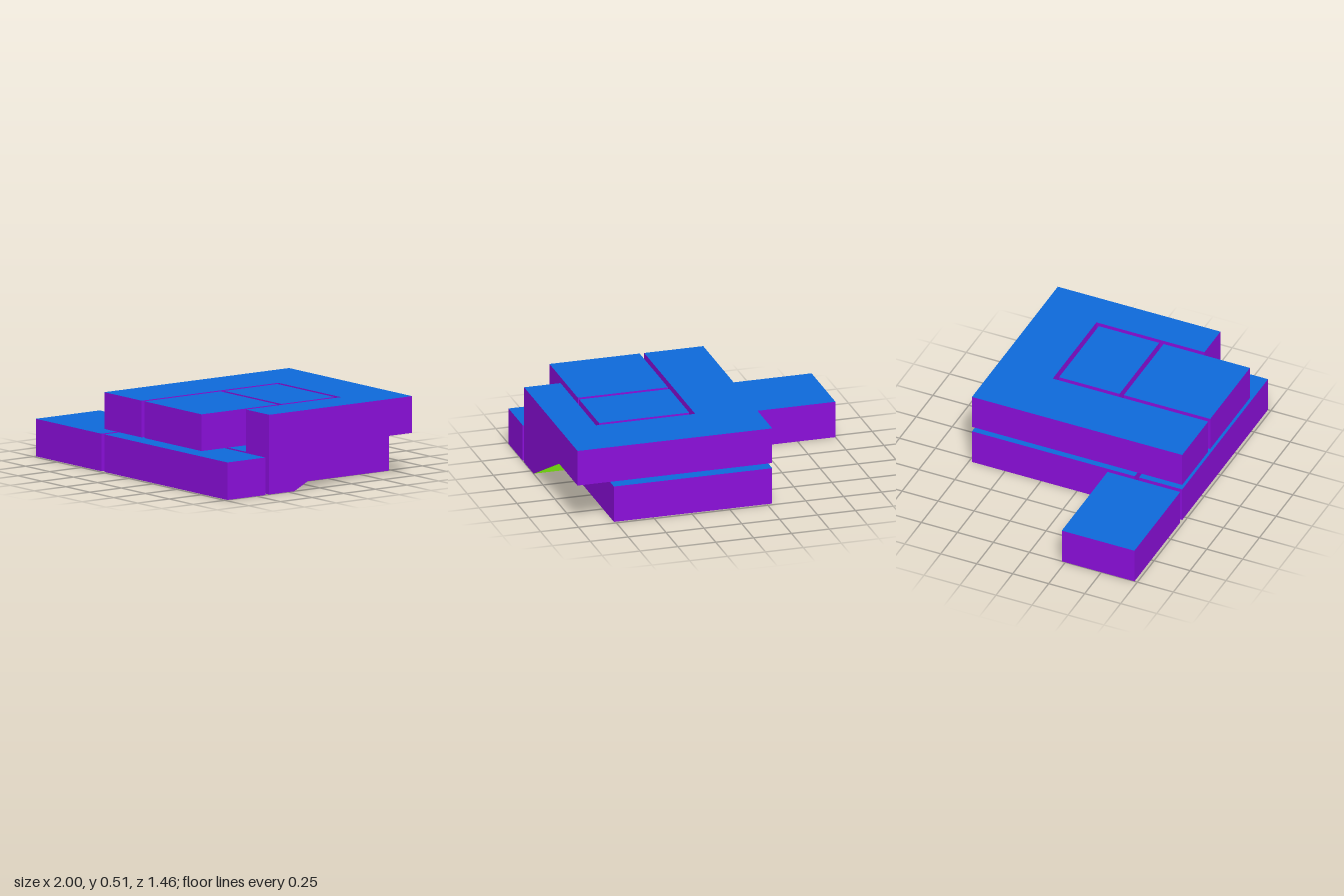
import * as THREE from 'three';

const material = (name, color) => Object.assign(new THREE.MeshStandardMaterial({ color }), { name });

export function createModel() {
  const group = new THREE.Group();
  const blue = material('roof blue', 0x0d69d9);
  const purple = material('wall purple', 0x8a0ed9);
  const green = material('underside green', 0x73d90d);
  const red = material('annex underside red', 0xd90d0d);

  // Extrude an outline, then choose a material for each triangle by its normal.
  function add(name, points, depth, place, materials, rule) {
    const shape = new THREE.Shape(points.map(p => new THREE.Vector2(p[0], p[1])));
    const extruded = new THREE.ExtrudeGeometry(shape, { depth, bevelEnabled: false });
    const geometry = extruded.index ? extruded.toNonIndexed() : extruded;
    place(geometry);
    geometry.computeVertexNormals();
    geometry.clearGroups();
    const n = geometry.attributes.normal;
    for (let i = 0; i < n.count; i += 3) {
      geometry.addGroup(i, 3, rule(n.getX(i), n.getY(i), n.getZ(i)));
    }
    const mesh = new THREE.Mesh(geometry, materials);
    mesh.name = name;
    group.add(mesh);
  }

  // Horizontal slab from an (x, z) plan: blue top, purple walls, coloured underside.
  function slab(name, plan, y0, y1, under = green) {
    add(name, plan.map(([x, z]) => [x, -z]), y1 - y0,
      g => g.rotateX(-Math.PI / 2).translate(0, y0, 0),
      [blue, purple, under],
      (nx, ny) => (ny > 0.5 ? 0 : ny < -0.5 ? 2 : 1));
  }
  const rect = (x0, x1, z0, z1) => [[x0, z0], [x1, z0], [x1, z1], [x0, z1]];

  // Ground floor
  slab('annex', rect(-1, -0.315, 0.225, 0.73), 0, 0.24, red);
  slab('lowerMainBlock', rect(-0.285, 0.76, -0.73, 0.4), 0, 0.24);
  slab('lowerFrontBlock', rect(-0.285, 1, 0.43, 0.73), 0, 0.24);

  // Upper floor, open at the front around two inner rooms
  slab('upperBlock', [[-0.285, -0.73], [1, -0.73], [1, 0.4], [0.76, 0.4],
    [0.76, -0.35], [0.105, -0.35], [0.105, 0.73], [-0.285, 0.73]], 0.275, 0.51);
  slab('upperBackRoom', rect(0.135, 0.73, -0.32, 0.1), 0.275, 0.51);
  slab('upperFrontRoom', rect(0.135, 0.73, 0.13, 0.73), 0.275, 0.51);

  // Stairwell: (z, y) profile extruded along x, with a green underside
  function stairPart(name, profile, x0, x1) {
    add(name, profile.map(([z, y]) => [-z, y]), x1 - x0,
      g => g.rotateY(Math.PI / 2).translate(x0, 0, 0),
      [purple, green],
      (nx, ny, nz) => (Math.abs(nx) > 0.5 || nz > 0.5 ? 0 : 1));
  }
  const steps = 10, rise = 0.275 / steps, run = 0.54 / steps;
  const profile = [[0.4, 0.275], [0.4, 0], [0.2, 0]];
  for (let i = 0; i < steps; i++) {
    const z = 0.2 - i * run, y = (i + 1) * rise;
    profile.push([z, y], [z - run, y]);
  }
  // Drop the last tread, which lies flush with the floor above.
  profile.pop();
  stairPart('stairs', profile, 0.76, 0.997);
  stairPart('stairSkirt', [[0.4, 0.275], [0.4, 0], [0.2, 0], [-0.34, 0.275]], 0.997, 1);

  // Inner stairwell wall closing the gap between the floors
  const wall = new THREE.Mesh(new THREE.BoxGeometry(0.004, 0.035, 0.74), purple);
  wall.position.set(0.758, 0.2575, 0.03);
  wall.name = 'stairwellWall';
  group.add(wall);

  return group;
}
